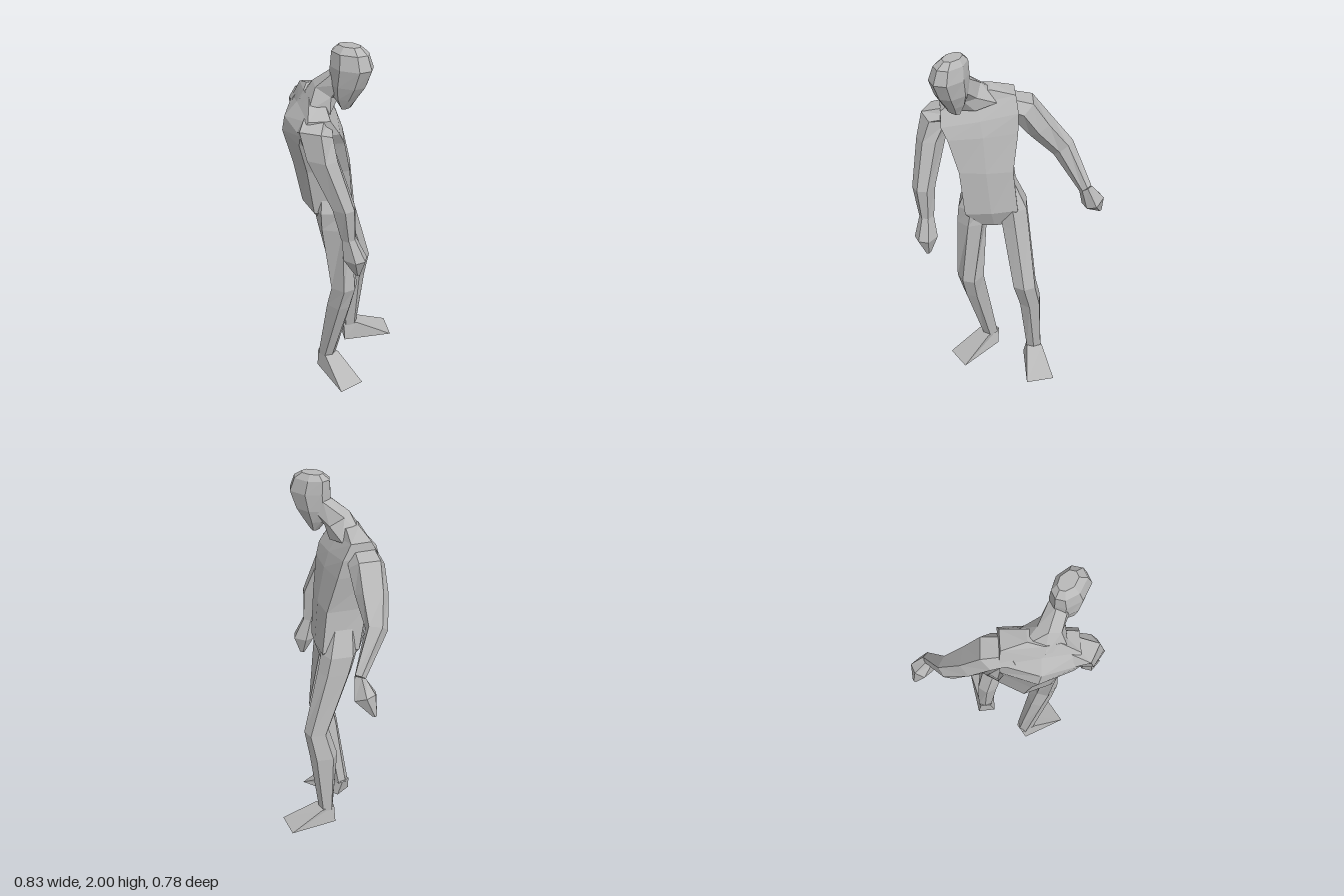
import * as THREE from 'three';

const skin = new THREE.MeshStandardMaterial({ color: 0xb8b8b8, flatShading: true });
skin.name = 'plain grey';

// Unit cross-sections (u = model's left, v = front), clockwise seen from above
const TORSO = [[1, 1], [0, 1.12], [-1, 1], [-1, -1], [0, -1.6], [1, -1]];
const LIMB = [[0.9, 0.6], [0, 1], [-0.9, 0.6], [-0.9, -0.6], [0, -1], [0.9, -0.6]];
const HEAD = [[0.7, 0.75], [0, 1], [-0.7, 0.75], [-1, -0.1], [-0.6, -0.8], [0, -1], [0.6, -0.8], [1, -0.1]];
const FOOT = [[1, 1], [-1, 1], [-0.65, -1], [0.65, -1]];

// Skins rings listed from top to bottom.
// Ring: [x, y, z, half width, half depth, yaw, roll, pitch], angles in degrees
function loft(name, profile, rings) {
  const n = profile.length;
  const pos = [];
  const index = [];
  const rad = THREE.MathUtils.degToRad;
  for (const [x, y, z, s, d, yaw = 0, roll = 0, pitch = 0] of rings) {
    const turn = new THREE.Euler(rad(pitch), rad(yaw), rad(roll), 'YXZ');
    for (const [u, v] of profile) {
      const p = new THREE.Vector3(u * s, 0, v * d).applyEuler(turn);
      pos.push(p.x + x, p.y + y, p.z + z);
    }
  }
  for (let i = 0; i < rings.length - 1; i++) {
    for (let j = 0; j < n; j++) {
      const k = (j + 1) % n;
      const a = i * n + j, b = i * n + k, c = b + n, e = a + n;
      index.push(a, b, c, a, c, e);
    }
  }
  const last = (rings.length - 1) * n;
  for (let j = 1; j < n - 1; j++) {
    index.push(0, j + 1, j, last, last + j, last + j + 1);
  }
  const g = new THREE.BufferGeometry();
  g.setAttribute('position', new THREE.Float32BufferAttribute(pos, 3));
  g.setIndex(index);
  const flat = g.toNonIndexed();
  flat.computeVertexNormals();
  const mesh = new THREE.Mesh(flat, skin);
  mesh.name = name;
  return mesh;
}

export function createModel() {
  const body = new THREE.Group();
  body.name = 'standingFigure';

  // Trunk, twisted towards the figure's left
  body.add(loft('torso', TORSO, [
    [-0.185, 1.74, 0.01, 0.08, 0.035, 43, 10, 8],
    [-0.175, 1.685, 0.0, 0.195, 0.055, 43, 11],
    [-0.17, 1.61, 0.0, 0.2, 0.097, 43, 9],
    [-0.152, 1.53, 0.0, 0.18, 0.112, 43, 4],
    [-0.108, 1.34, 0.022, 0.14, 0.108, 40],
    [-0.065, 1.1, 0.03, 0.14, 0.1, 38, 5],
    [-0.045, 1.0, 0.03, 0.06, 0.06, 38, 5],
  ]));

  // Neck leaning forward and bowed head
  body.add(loft('neck', LIMB, [
    [-0.165, 1.84, 0.155, 0.055, 0.06, 10, 0, 40],
    [-0.18, 1.765, 0.07, 0.065, 0.075, 25, 0, 32],
    [-0.18, 1.685, 0.02, 0.125, 0.09, 43, 8, 12],
  ]));
  body.add(loft('head', HEAD, [
    [-0.16, 2.0, 0.197, 0.04, 0.06],
    [-0.165, 1.97, 0.203, 0.068, 0.1],
    [-0.168, 1.9, 0.215, 0.083, 0.115],
    [-0.168, 1.81, 0.197, 0.077, 0.095],
    [-0.17, 1.745, 0.185, 0.06, 0.06],
    [-0.17, 1.69, 0.185, 0.035, 0.02],
  ]));

  // Arms run out of the shoulders: the right hangs forward, the left swings out and back
  body.add(loft('rightArm', LIMB, [
    [-0.25, 1.625, 0.06, 0.05, 0.08, 43, -65],
    [-0.343, 1.59, 0.125, 0.075, 0.092, 15, -25],
    [-0.348, 1.48, 0.17, 0.066, 0.085, 8],
    [-0.32, 1.23, 0.28, 0.054, 0.06, 5],
    [-0.298, 1.05, 0.295, 0.035, 0.038],
  ]));
  body.add(loft('rightHand', LIMB, [
    [-0.298, 1.06, 0.295, 0.034, 0.037],
    [-0.282, 0.94, 0.325, 0.055, 0.062],
    [-0.268, 0.84, 0.33, 0.012, 0.015],
  ]));
  body.add(loft('leftArm', LIMB, [
    [-0.1, 1.65, -0.1, 0.05, 0.08, 43, 60],
    [-0.012, 1.615, -0.17, 0.075, 0.095, 40, 42],
    [0.06, 1.5, -0.23, 0.068, 0.085, 30, 35],
    [0.16, 1.37, -0.3, 0.06, 0.057, 15, 42],
    [0.325, 1.18, -0.285, 0.035, 0.03, 0, 42],
  ]));
  body.add(loft('leftHand', LIMB, [
    [0.325, 1.18, -0.285, 0.036, 0.031, 0, 35],
    [0.35, 1.09, -0.325, 0.057, 0.06, 0, 10, 25],
    [0.36, 1.0, -0.38, 0.014, 0.014],
  ]));

  // Legs taper out of the waist, then run through knee and calf to ankle
  body.add(loft('rightLeg', LIMB, [
    [-0.13, 1.27, 0.065, 0.04, 0.07, 38],
    [-0.152, 1.1, 0.09, 0.076, 0.095, 35],
    [-0.145, 1.0, 0.1, 0.077, 0.09, 25],
    [-0.125, 0.63, 0.15, 0.067, 0.07, 0],
    [-0.122, 0.5, 0.115, 0.06, 0.07, -5],
    [-0.1, 0.11, 0.015, 0.045, 0.045, -15],
  ]));
  body.add(loft('leftLeg', LIMB, [
    [-0.03, 1.28, -0.03, 0.04, 0.07, 40],
    [0.028, 1.1, -0.037, 0.08, 0.1, 38],
    [0.055, 1.0, -0.025, 0.078, 0.095, 38],
    [0.168, 0.65, 0.035, 0.066, 0.068, 35],
    [0.175, 0.5, -0.01, 0.06, 0.077, 35],
    [0.193, 0.14, -0.03, 0.044, 0.04, 40],
  ]));

  // Wedge-shaped feet
  body.add(loft('rightFoot', FOOT, [
    [-0.1, 0.12, 0.015, 0.045, 0.045, -15],
    [-0.13, 0.015, 0.112, 0.075, 0.13, -17, 0, 6],
  ]));
  body.add(loft('leftFoot', FOOT, [
    [0.193, 0.155, -0.03, 0.045, 0.04, 45],
    [0.262, 0.062, 0.038, 0.077, 0.137, 47, 3, -5],
  ]));

  return body;
}
